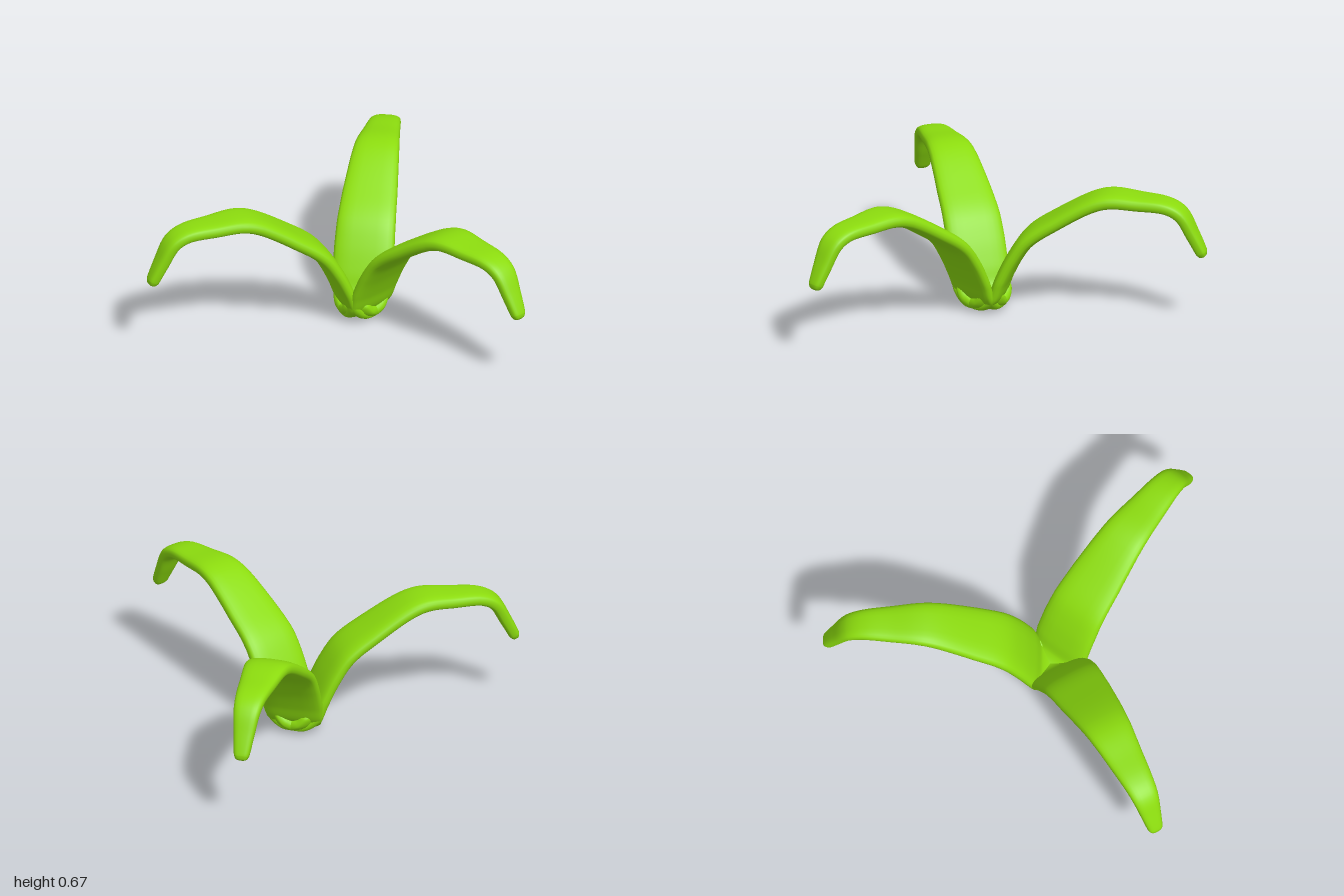
import * as THREE from 'three';

const SIDES = 24, STEPS = 6;

// Leaf stations: [distance from centre, height, half width, half thickness]
const STATIONS = [
  [-0.125, 0.125, 0.035, 0.012],
  [-0.118, 0.105, 0.062, 0.025],
  [-0.085, 0.062, 0.090, 0.034],
  [0.00, 0.042, 0.120, 0.036],
  [0.065, 0.085, 0.145, 0.036],
  [0.105, 0.18, 0.155, 0.037],
  [0.165, 0.30, 0.154, 0.039],
  [0.24, 0.405, 0.150, 0.040],
  [0.38, 0.505, 0.140, 0.040],
  [0.57, 0.615, 0.121, 0.040],
  [0.66, 0.639, 0.112, 0.039],
  [0.80, 0.633, 0.095, 0.037],
  [0.95, 0.619, 0.078, 0.034],
  [1.02, 0.580, 0.069, 0.034],
  [1.08, 0.475, 0.053, 0.032],
  [1.125, 0.385, 0.039, 0.028],
  [1.133, 0.366, 0.028, 0.018],
  [1.135, 0.361, 0.014, 0.008],
];

// Rounded blade section swept along the centre line, closed at both ends
function leafGeometry() {
  const curve = new THREE.CatmullRomCurve3(
    STATIONS.map(([r, y]) => new THREE.Vector3(0, y, r)));
  const rings = (STATIONS.length - 1) * STEPS;
  const pos = [], index = [];
  const soft = v => Math.sign(v) * Math.abs(v) ** 0.7;
  for (let i = 0; i <= rings; i++) {
    const k = Math.min(Math.floor(i / STEPS), STATIONS.length - 2);
    const f = i / STEPS - k;
    const p = curve.getPoint(i / rings), t = curve.getTangent(i / rings);
    const w = THREE.MathUtils.lerp(STATIONS[k][2], STATIONS[k + 1][2], f);
    const h = THREE.MathUtils.lerp(STATIONS[k][3], STATIONS[k + 1][3], f);
    for (let j = 0; j < SIDES; j++) {
      const a = j / SIDES * Math.PI * 2;
      const b = h * soft(Math.sin(a));
      pos.push(w * soft(Math.cos(a)), p.y + b * t.z, p.z - b * t.y);
    }
  }
  for (let i = 0; i < rings; i++) {
    for (let j = 0; j < SIDES; j++) {
      const n = (j + 1) % SIDES;
      const a = i * SIDES + j, b = i * SIDES + n;
      index.push(a, b, b + SIDES, a, b + SIDES, a + SIDES);
    }
  }
  // End caps
  const last = rings * SIDES;
  for (let j = 1; j < SIDES - 1; j++) {
    index.push(0, j + 1, j, last, last + j, last + j + 1);
  }
  const geo = new THREE.BufferGeometry();
  geo.setAttribute('position', new THREE.Float32BufferAttribute(pos, 3));
  geo.setIndex(index);
  geo.computeVertexNormals();
  return geo;
}

export function createModel() {
  const group = new THREE.Group();
  group.name = 'threeLeafSprout';
  const material = new THREE.MeshStandardMaterial({ color: 0x8cdc0e });
  const geometry = leafGeometry();

  // Three leaves fanned around the shared root
  const leaves = { frontLeaf: 0, backLeftLeaf: 126.9, backRightLeaf: -114.2 };
  for (const [name, angle] of Object.entries(leaves)) {
    const leaf = new THREE.Mesh(geometry, material);
    leaf.name = name;
    leaf.position.set(0.06, 0, -0.225);
    leaf.rotation.y = THREE.MathUtils.degToRad(angle);
    group.add(leaf);
  }
  return group;
}
